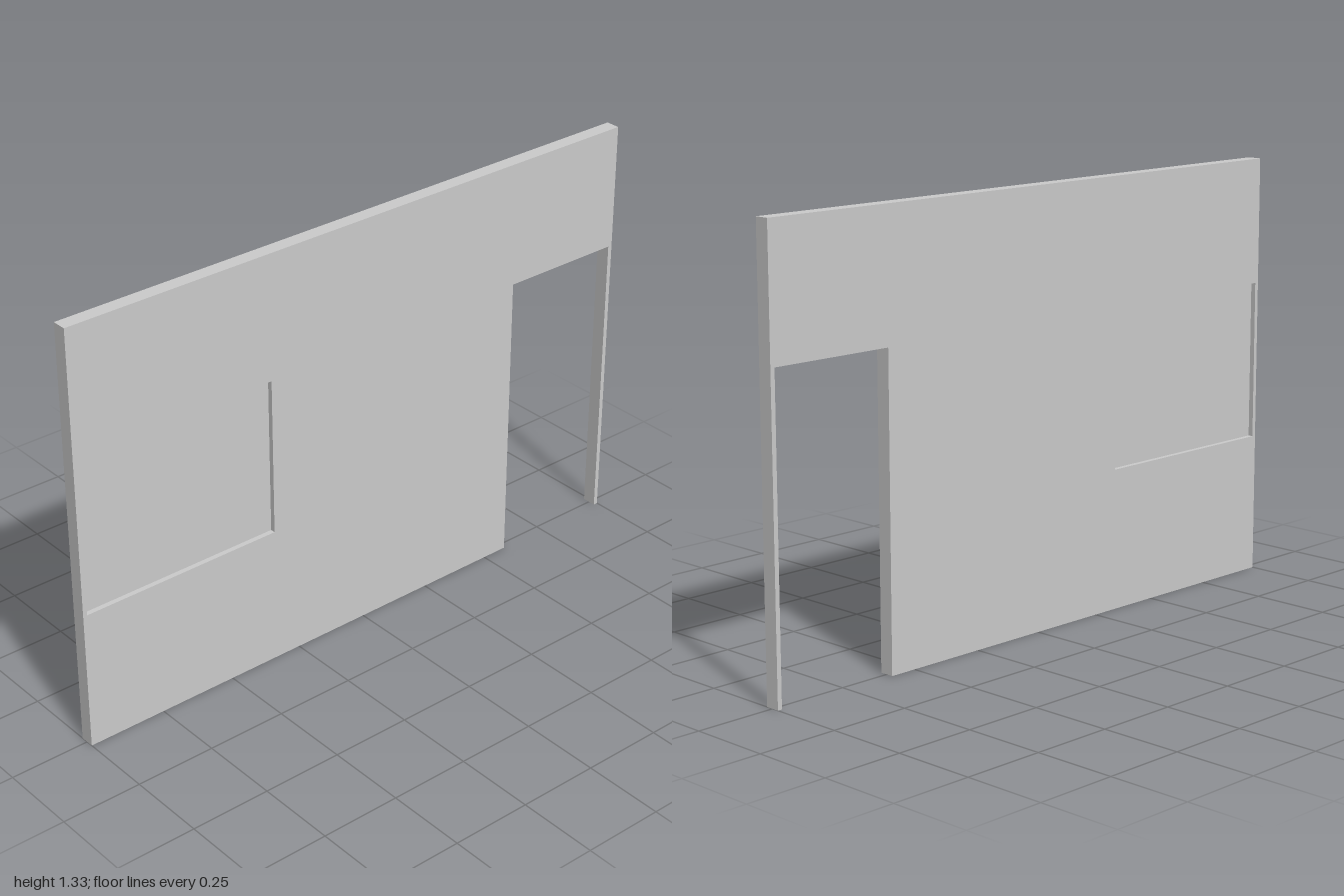
import * as THREE from 'three';

const THICKNESS = 0.045;
const HEIGHT = 1.326;
const DOOR = { left: 0.585, right: 0.986, top: 0.933 };
const WINDOW = { left: -0.987, right: -0.334, bottom: 0.437, top: 0.933 };

export function createModel() {
  const group = new THREE.Group();
  const material = new THREE.MeshStandardMaterial({ color: 0xcccccc });

  // Wall outline, notched by a doorway that reaches the floor
  const outline = new THREE.Shape([
    [-1, 0], [DOOR.left, 0], [DOOR.left, DOOR.top], [DOOR.right, DOOR.top],
    [DOOR.right, 0], [1, 0], [1, HEIGHT], [-1, HEIGHT],
  ].map(([x, y]) => new THREE.Vector2(x, y)));

  // Window opening
  const { left, right, bottom, top } = WINDOW;
  outline.holes.push(new THREE.Path([
    [left, bottom], [left, top], [right, top], [right, bottom],
  ].map(([x, y]) => new THREE.Vector2(x, y))));

  const wallGeometry = new THREE.ExtrudeGeometry(outline, { depth: THICKNESS, bevelEnabled: false });
  wallGeometry.translate(0, 0, -THICKNESS / 2);
  const wall = new THREE.Mesh(wallGeometry, material);
  wall.name = 'wall';
  group.add(wall);

  // Thin pane recessed equally from both faces
  const pane = new THREE.Mesh(new THREE.BoxGeometry(right - left, top - bottom, THICKNESS * 0.3), material);
  pane.name = 'windowPane';
  pane.position.set((left + right) / 2, (bottom + top) / 2, 0);
  group.add(pane);

  return group;
}
